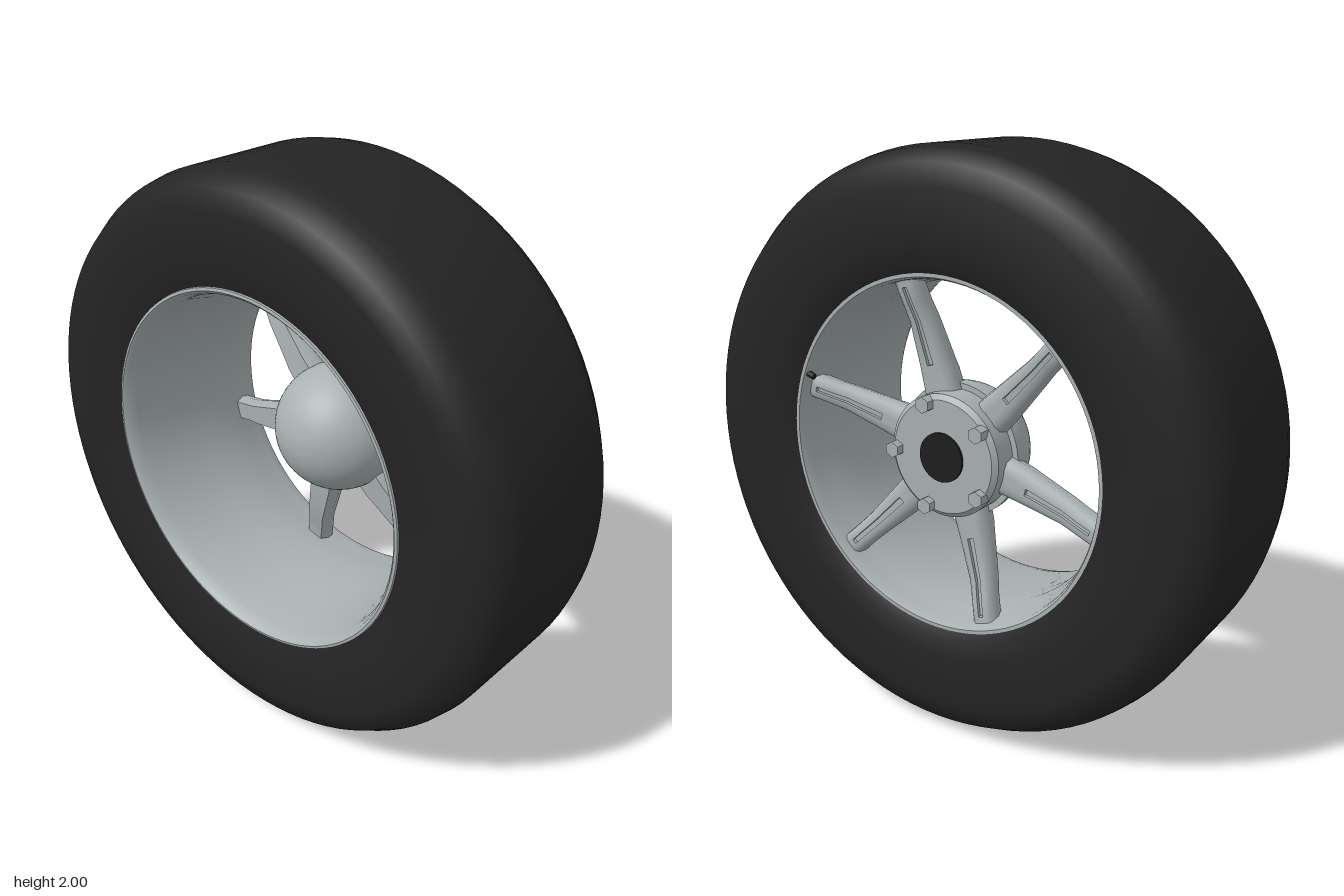
import * as THREE from 'three';
import { toCreasedNormals } from 'three/addons/utils/BufferGeometryUtils.js';

const rubber = new THREE.MeshStandardMaterial({ color: 0x242424 });
rubber.name = 'rubber';
const silver = new THREE.MeshStandardMaterial({ color: 0xa9b1b2 });
silver.name = 'silver';
const black = new THREE.MeshStandardMaterial({ color: 0x1e1e1e });
black.name = 'black';

function mesh(name, geometry, material) {
  const m = new THREE.Mesh(geometry, material);
  m.name = name;
  return m;
}

// Revolves [radius, z] points around the wheel axis (z)
function revolve(points, crease, segments = 96) {
  const g = new THREE.LatheGeometry(points.map(([r, z]) => new THREE.Vector2(r, z)), segments);
  g.rotateX(Math.PI / 2);
  return toCreasedNormals(g, crease);
}

// Lofts a rounded, grooved section through stations along +x
function spokeGeometry() {
  // radius, back face z, half width, thickness, groove depth
  const stations = [
    [0.15, -0.22, 0.07, 0.10, 0],
    [0.27, -0.22, 0.063, 0.095, 0],
    [0.30, -0.221, 0.06, 0.09, 0],
    [0.301, -0.221, 0.06, 0.09, 0.012],
    [0.45, -0.233, 0.047, 0.08, 0.012],
    [0.51, -0.25, 0.044, 0.08, 0.012],
    [0.565, -0.262, 0.044, 0.08, 0.012],
    [0.566, -0.262, 0.044, 0.08, 0],
    [0.60, -0.266, 0.046, 0.08, 0],
  ];
  // side fraction, depth fraction, 1 where the groove floor lies
  const section = [
    [-1, 0.5, 0], [-0.85, 0.14, 0], [-0.55, 0, 0], [-0.2, 0, 0], [-0.2, 0, 1], [0.2, 0, 1],
    [0.2, 0, 0], [0.55, 0, 0], [0.85, 0.14, 0], [1, 0.5, 0], [0.75, 0.95, 0], [-0.75, 0.95, 0],
  ];
  const n = section.length;
  const positions = [], index = [];
  for (const [r, z, w, t, groove] of stations) {
    for (const [s, d, g] of section) positions.push(r, s * w, z + d * t + g * groove);
  }
  for (let i = 0; i < stations.length - 1; i++) {
    for (let j = 0; j < n; j++) {
      const k = (j + 1) % n;
      const a = i * n + j, b = i * n + k, c = b + n, d = a + n;
      index.push(a, b, c, a, c, d);
    }
  }
  const g = new THREE.BufferGeometry();
  g.setAttribute('position', new THREE.Float32BufferAttribute(positions, 3));
  g.setIndex(index);
  return toCreasedNormals(g, 0.9);
}

export function createModel() {
  const wheel = new THREE.Group();
  wheel.name = 'wheel';

  // Tyre: tread with rounded shoulders, nearly flat sidewalls
  const tyre = [
    [0.605, -0.30], [0.64, -0.318], [0.70, -0.33], [0.88, -0.335], [0.95, -0.315], [0.99, -0.25], [1, -0.2],
    [1, 0.2], [0.99, 0.25], [0.95, 0.315], [0.88, 0.335], [0.70, 0.33], [0.64, 0.312],
    [0.64, 0.29], [0.605, -0.28], [0.605, -0.30],
  ];
  wheel.add(mesh('tyre', revolve(tyre, 1.0), rubber));

  // Rim barrel: rolled lips at both ends, narrowest toward the spokes
  const rim = [
    [0.642, 0.30], [0.638, 0.318], [0.628, 0.32], [0.618, 0.31], [0.605, 0.27],
    [0.59, 0.15], [0.572, 0], [0.565, -0.12], [0.575, -0.2], [0.588, -0.265],
    [0.59, -0.285], [0.598, -0.303], [0.61, -0.303],
  ];
  wheel.add(mesh('rim', revolve(rim, 0.8), silver));

  // Hub: mounting face at the back, dome toward the front
  const hub = [[0, -0.27], [0.195, -0.27], [0.212, -0.255], [0.212, -0.17], [0.232, -0.17]];
  for (let i = 0; i <= 16; i++) {
    const a = (i / 16) * Math.PI / 2;
    hub.push([0.232 * Math.cos(a), -0.155 + 0.232 * Math.sin(a)]);
  }
  wheel.add(mesh('hub', revolve(hub, 0.6, 64), silver));

  // Centre cap
  const cap = mesh('centreCap', new THREE.CylinderGeometry(0.085, 0.085, 0.015, 40), black);
  cap.rotation.x = Math.PI / 2;
  cap.position.z = -0.27;
  wheel.add(cap);

  // Six spokes
  const spoke = spokeGeometry();
  for (let i = 0; i < 6; i++) {
    const m = mesh('spoke', spoke, silver);
    m.rotation.z = (15 + i * 60) * Math.PI / 180;
    wheel.add(m);
  }

  // Five hexagonal lug nuts
  const nut = toCreasedNormals(new THREE.CylinderGeometry(0.028, 0.028, 0.05, 6), 0.5);
  for (let i = 0; i < 5; i++) {
    const a = i * Math.PI * 2 / 5;
    const m = mesh('lugNut', nut, silver);
    m.rotation.x = Math.PI / 2;
    m.position.set(0.185 * Math.cos(a), 0.185 * Math.sin(a), -0.275);
    wheel.add(m);
  }

  // Valve stem just inside the back lip
  const a = 20.5 * Math.PI / 180;
  const valve = mesh('valveStem', new THREE.CylinderGeometry(0.011, 0.011, 0.05, 12), black);
  valve.position.set(0.592 * Math.cos(a), 0.592 * Math.sin(a), -0.285);
  valve.rotation.z = a - Math.PI / 2;
  wheel.add(valve);

  wheel.position.y = 1;
  const model = new THREE.Group();
  model.name = 'wheelModel';
  model.add(wheel);
  return model;
}
